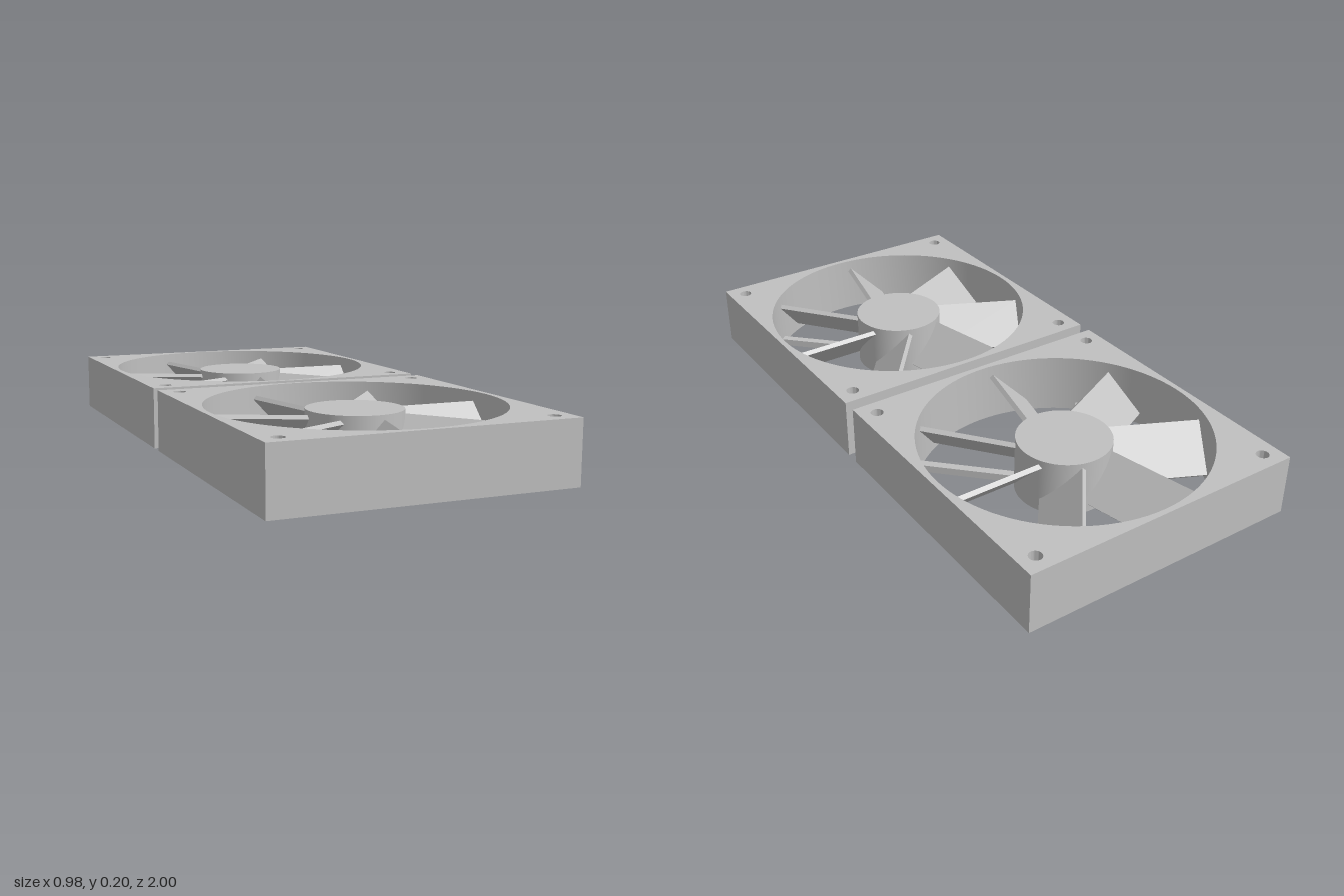
import * as THREE from 'three';
import { toCreasedNormals } from 'three/addons/utils/BufferGeometryUtils.js';

const HALF = 0.488, HEIGHT = 0.205, BORE = 0.47, HUB = 0.155;

// Square casing with a round bore and four screw holes
function casingGeometry() {
  const shape = new THREE.Shape();
  shape.moveTo(-HALF, -HALF);
  shape.lineTo(HALF, -HALF);
  shape.lineTo(HALF, HALF);
  shape.lineTo(-HALF, HALF);
  shape.closePath();
  const hole = (x, y, r) => shape.holes.push(new THREE.Path().absarc(x, y, r, 0, Math.PI * 2, true));
  hole(0, 0, BORE);
  for (const x of [-0.43, 0.43]) for (const y of [-0.43, 0.43]) hole(x, y, 0.021);
  const geo = new THREE.ExtrudeGeometry(shape, { depth: HEIGHT, bevelEnabled: false, curveSegments: 48 });
  geo.rotateX(-Math.PI / 2);
  return toCreasedNormals(geo, 0.5);
}

function createFan(material) {
  const fan = new THREE.Group();
  const add = (parent, name, geo) => {
    const mesh = new THREE.Mesh(geo, material);
    mesh.name = name;
    parent.add(mesh);
    return mesh;
  };

  add(fan, 'casing', casingGeometry());

  // Motor hub
  add(fan, 'hub', new THREE.CylinderGeometry(HUB, HUB, 0.188, 64)).position.y = 0.096;

  // Seven pitched blades
  const blades = new THREE.Group();
  blades.name = 'blades';
  fan.add(blades);
  const bladeGeo = new THREE.BoxGeometry(0.335, 0.016, 0.182);
  bladeGeo.rotateX(Math.PI / 4);
  bladeGeo.translate(0.2915, 0.105, 0);
  for (let i = 0; i < 7; i++) {
    add(blades, 'blade', bladeGeo).rotation.y = (i / 7) * Math.PI * 2;
  }

  // Four diagonal struts holding the hub at the bottom
  const strutGeo = new THREE.BoxGeometry(0.35, 0.025, 0.027);
  strutGeo.translate(0.3, 0.0135, 0);
  for (let i = 0; i < 4; i++) {
    add(fan, 'strut', strutGeo).rotation.y = Math.PI / 4 + (i * Math.PI) / 2;
  }
  return fan;
}

export function createModel() {
  const grey = new THREE.MeshStandardMaterial({ color: 0xc0c0c0 });
  grey.name = 'grey';
  const model = new THREE.Group();
  model.name = 'fanPair';
  // Two identical fans side by side along z
  [['frontFan', 0.512], ['rearFan', -0.512]].forEach(([name, z]) => {
    const fan = createFan(grey);
    fan.name = name;
    fan.position.z = z;
    model.add(fan);
  });
  return model;
}
